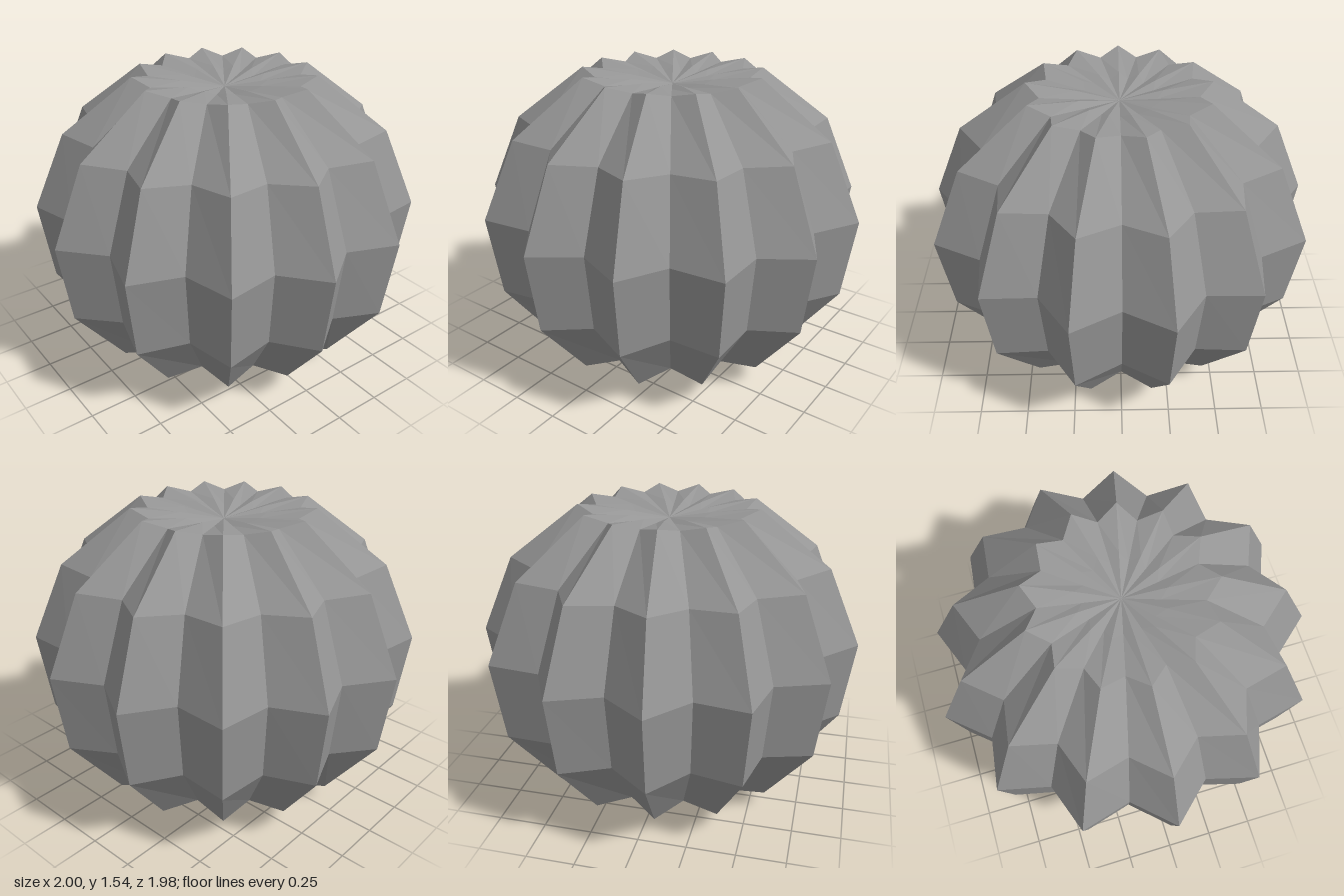
import * as THREE from 'three';

const LOBES = 13;
const GROOVE = 0.84; // groove radius relative to rib radius

// Rib radius, rib height, groove height; from the underside to the dimple
const RINGS = [
  [0, 0, 0],
  [0.673, 0.078, 0.112],
  [0.947, 0.43, 0.44],
  [1.007, 0.853, 0.853],
  [0.835, 1.257, 1.245],
  [0.47, 1.54, 1.512],
  [0.22, 1.51, 1.488],
  [0, 1.47, 1.47],
];

export function createModel() {
  const group = new THREE.Group();
  group.name = 'pumpkin';

  // Lathe with two columns per lobe; every second column is pulled in as a groove
  const profile = RINGS.map(([r, y]) => new THREE.Vector2(r, y));
  const lathe = new THREE.LatheGeometry(profile, LOBES * 2);
  const pos = lathe.attributes.position;
  for (let i = 0; i < pos.count; i++) {
    const column = Math.floor(i / RINGS.length);
    if (column % 2 === 0) continue;
    pos.setXYZ(i, pos.getX(i) * GROOVE, RINGS[i % RINGS.length][2], pos.getZ(i) * GROOVE);
  }

  // Faceted normals; shifted so the odd lobe count is centred in depth
  const geometry = lathe.toNonIndexed();
  geometry.computeVertexNormals();
  geometry.translate(0, 0, -0.015);

  const body = new THREE.Mesh(
    geometry,
    new THREE.MeshStandardMaterial({ color: 0x969696, flatShading: true })
  );
  body.name = 'ribbedBody';
  group.add(body);
  return group;
}
